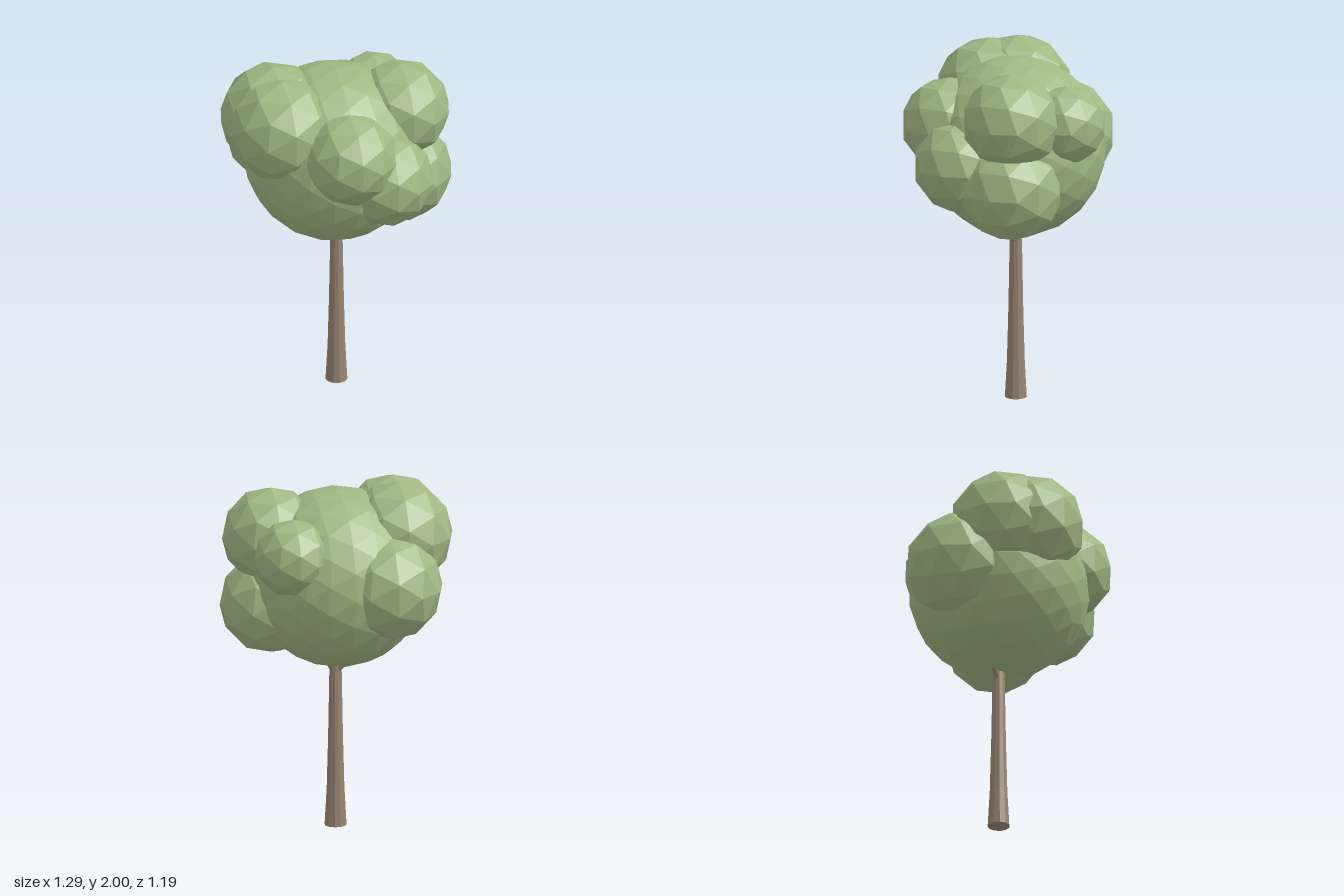
import * as THREE from 'three';

export function createModel() {
  const tree = new THREE.Group();
  tree.name = 'tree';

  const leafGreen = new THREE.MeshStandardMaterial({ color: 0xa0b883, flatShading: true });
  leafGreen.name = 'leaf green';
  const barkBrown = new THREE.MeshStandardMaterial({ color: 0x9b8672, flatShading: true });
  barkBrown.name = 'bark brown';

  const add = (name, geometry, material, x, y, z) => {
    const mesh = new THREE.Mesh(geometry, material);
    mesh.name = name;
    mesh.position.set(x, y, z);
    tree.add(mesh);
    return mesh;
  };

  // Trunk: faceted, flared at the foot, closed underneath
  const profile = [[0, 0], [0.062, 0], [0.05, 0.22], [0.042, 0.52], [0.035, 0.9], [0.03, 1.1], [0, 1.1]];
  add('trunk', new THREE.LatheGeometry(profile.map(([r, y]) => new THREE.Vector2(r, y)), 11),
    barkBrown, 0.012, 0, -0.008);

  // Short branches forking into the crown
  const up = new THREE.Vector3(0, 1, 0);
  for (const [name, dx, dz] of [['leftBranch', 0.16, 0.02], ['rightBranch', -0.16, -0.02]]) {
    const direction = new THREE.Vector3(dx, 0.2, dz);
    const length = direction.length();
    const branch = add(name, new THREE.CylinderGeometry(0.012, 0.02, length, 7), barkBrown,
      0.012 + dx / 2, 0.99, -0.008 + dz / 2);
    branch.quaternion.setFromUnitVectors(up, direction.normalize());
  }

  // Large central ball of foliage
  add('crown', new THREE.IcosahedronGeometry(0.51, 3), leafGreen, 0, 1.45, 0);

  // Smaller clumps around it: name, x, y, z, radius
  const clumps = [
    ['frontRightClump', -0.23, 1.69, 0.27, 0.3],
    ['frontLeftClump', 0.18, 1.587, 0.328, 0.268],
    ['upperLeftClump', 0.348, 1.692, -0.138, 0.28],
    ['lowerLeftClump', 0.35, 1.304, -0.138, 0.292],
    ['middleLeftClump', 0.345, 1.406, 0.173, 0.271],
    ['upperRightClump', -0.315, 1.695, 0.132, 0.305],
    ['backRightClump', -0.345, 1.46, -0.12, 0.306],
    ['backClump', 0.13, 1.65, -0.374, 0.225],
  ];
  for (const [name, x, y, z, radius] of clumps) {
    add(name, new THREE.IcosahedronGeometry(radius, 1), leafGreen, x, y, z);
  }

  return tree;
}
